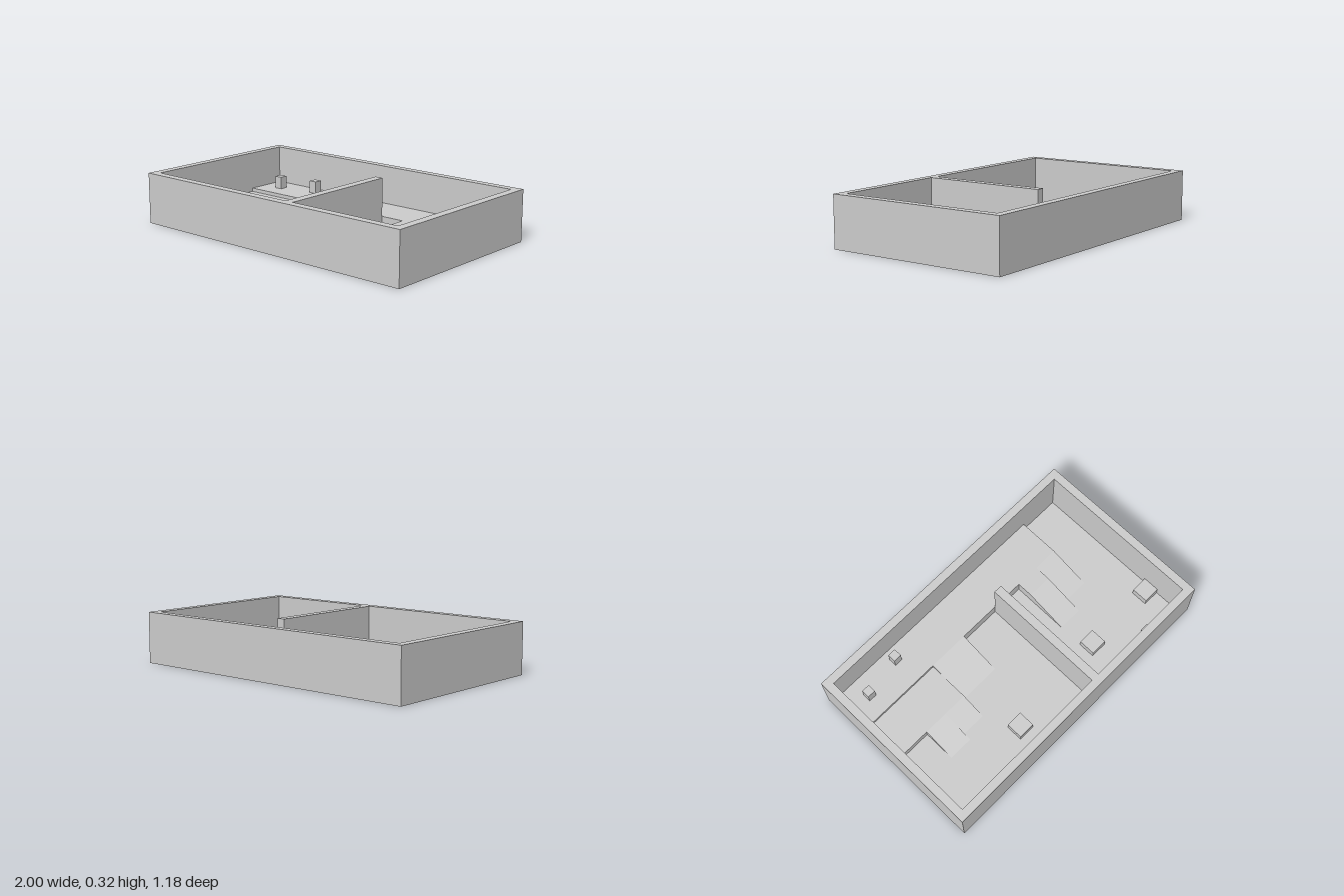
import * as THREE from 'three';

const FLOOR = 0.003, MID = 0.057, HIGH = 0.08, TOP = 0.325;

export function createModel() {
  const model = new THREE.Group();
  const material = new THREE.MeshStandardMaterial({ color: 0xcccccc, flatShading: true });

  const add = (name, geometry) => {
    const mesh = new THREE.Mesh(geometry, material);
    mesh.name = name;
    model.add(mesh);
    return mesh;
  };

  // Box given by its limits on each axis
  const block = (name, x0, x1, y0, y1, z0, z1) =>
    add(name, new THREE.BoxGeometry(x1 - x0, y1 - y0, z1 - z0))
      .position.set((x0 + x1) / 2, (y0 + y1) / 2, (z0 + z1) / 2);

  // Wedge falling from height h at z0 to the floor at z1
  const ramp = (name, x0, x1, h, z0, z1) => {
    const side = new THREE.Shape([
      new THREE.Vector2(-z0, 0), new THREE.Vector2(-z0, h),
      new THREE.Vector2(-z1, FLOOR), new THREE.Vector2(-z1, 0),
    ]);
    const geometry = new THREE.ExtrudeGeometry(side, { depth: x1 - x0, bevelEnabled: false });
    geometry.rotateY(Math.PI / 2);
    add(name, geometry).position.x = x0;
  };

  // Rectangular outer wall, open in the middle
  const corners = (x, y) => [[-x, -y], [x, -y], [x, y], [-x, y]].map(p => new THREE.Vector2(...p));
  const ring = new THREE.Shape(corners(1, 0.592));
  ring.holes.push(new THREE.Path(corners(0.947, 0.54).reverse()));
  const walls = new THREE.ExtrudeGeometry(ring, { depth: TOP, bevelEnabled: false });
  walls.rotateX(-Math.PI / 2);
  add('outerWalls', walls);

  // Floor and partition between the two rooms
  block('floor', -0.947, 0.947, 0, FLOOR, -0.54, 0.54);
  block('partition', 0.135, 0.19, FLOOR, TOP, -0.27, 0.54);

  // Raised levels
  block('backPlatform', -0.947, 0.673, FLOOR, HIGH, -0.54, -0.27);
  block('platformExtension', 0.35, 0.51, FLOOR, HIGH, -0.27, -0.165);
  block('middleStep', -0.947, -0.41, FLOOR, MID, -0.27, 0);

  // Ramps down to the floor
  ramp('wideRamp', -0.41, -0.14, HIGH, -0.27, 0);
  ramp('stepRampLong', -0.73, -0.57, MID, 0, 0.21);
  ramp('stepRampShort', -0.57, -0.41, MID, 0, 0.16);
  ramp('extensionRamp', 0.35, 0.51, HIGH, -0.165, 0.105);
  ramp('cornerRamp', 0.51, 0.673, HIGH, -0.27, 0);

  // Loose blocks and posts: name, centre x, z, width, base, height
  for (const [name, x, z, w, y, h] of [
    ['leftPost', -0.812, -0.41, 0.054, HIGH, 0.08],
    ['rightPost', -0.543, -0.463, 0.054, HIGH, 0.08],
    ['crate', -0.3, 0.375, 0.108, FLOOR, 0.052],
    ['crate', 0.402, 0.322, 0.108, FLOOR, 0.052],
    ['crate', 0.892, 0.322, 0.108, FLOOR, 0.052],
    ['smallCrate', 0.7, 0.513, 0.054, FLOOR, 0.052],
  ]) block(name, x - w / 2, x + w / 2, y, y + h, z - w / 2, z + w / 2);

  return model;
}
